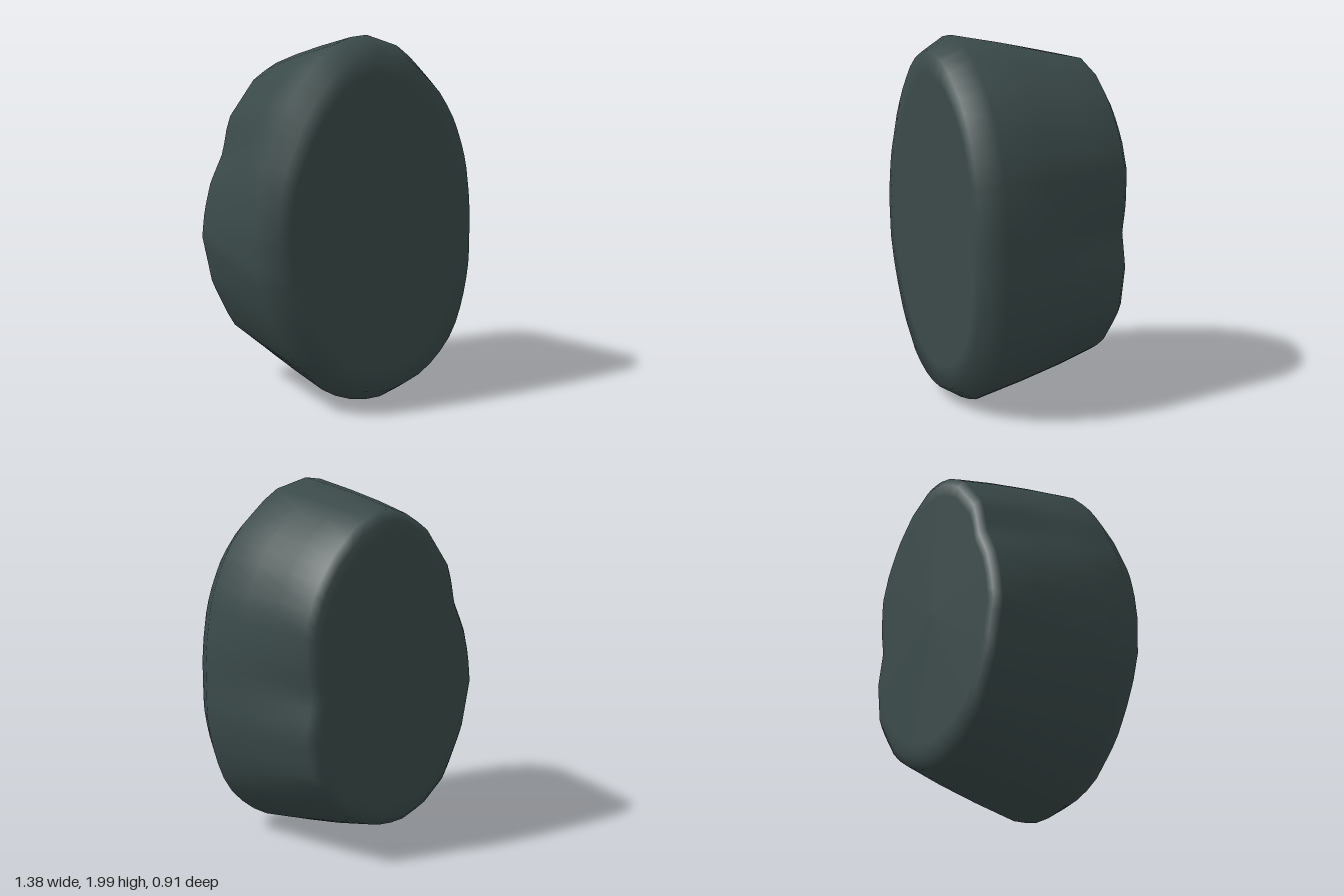
import * as THREE from 'three';

// Outlines, counter-clockwise order not required: they are read by angle around (0, 1)
const FRONT = [[0, 2], [0.23, 1.935], [0.43, 1.76], [0.53, 1.63], [0.6, 1.48], [0.65, 1.33], [0.68, 1.13],
  [0.69, 1], [0.69, 0.72], [0.665, 0.56], [0.61, 0.37], [0.52, 0.22], [0.4, 0.12], [0.28, 0.05], [0.06, 0],
  [-0.12, 0.04], [-0.26, 0.1], [-0.46, 0.3], [-0.56, 0.47], [-0.63, 0.62], [-0.68, 0.78], [-0.695, 1],
  [-0.68, 1.17], [-0.645, 1.33], [-0.52, 1.61], [-0.41, 1.77], [-0.25, 1.935], [-0.1, 1.99]];
const BACK = [[0.08, 1.87], [0.26, 1.78], [0.405, 1.64], [0.505, 1.48], [0.565, 1.31], [0.56, 1.1],
  [0.53, 0.95], [0.57, 0.75], [0.53, 0.51], [0.37, 0.3], [0.21, 0.2], [0.05, 0.155], [-0.1, 0.16],
  [-0.25, 0.22], [-0.4, 0.34], [-0.53, 0.6], [-0.59, 0.88], [-0.57, 1.03], [-0.53, 1.18], [-0.45, 1.34],
  [-0.41, 1.53], [-0.23, 1.76], [-0.05, 1.86]];
const SIDES = 60;

// Distance from the centre to the outline along each of SIDES rays
function radii(outline) {
  const out = [];
  for (let j = 0; j < SIDES; j++) {
    const a = (j / SIDES) * Math.PI * 2, dx = Math.cos(a), dy = Math.sin(a);
    let r = 0;
    outline.forEach(([x, y], i) => {
      const [u, v] = outline[(i + 1) % outline.length];
      const s0 = dx * (y - 1) - dy * x, s1 = dx * (v - 1) - dy * u;
      if (s0 * s1 > 0 || s0 === s1) return;
      const t = s0 / (s0 - s1);
      r = Math.max(r, dx * (x + (u - x) * t) + dy * (y - 1 + (v - y) * t));
    });
    out.push(r);
  }
  return out;
}

// Cross-sections from back to front: z, blend towards the back outline, scale
const SECTIONS = [
  [-0.455, 1, 0], [-0.455, 1, 0.86], [-0.455, 1, 0.94], [-0.42, 1, 1], [-0.2, 0.65, 1],
  [0.05, 0.32, 1], [0.33, 0, 1], [0.455, 0, 0.92], [0.455, 0, 0.8], [0.455, 0, 0],
];

export function createModel() {
  const front = radii(FRONT), back = radii(BACK);
  const position = [], index = [];
  SECTIONS.forEach(([z, blend, scale], i) => {
    for (let j = 0; j < SIDES; j++) {
      const a = (j / SIDES) * Math.PI * 2;
      const r = scale * THREE.MathUtils.lerp(front[j], back[j], blend);
      position.push(r * Math.cos(a), 1 + r * Math.sin(a), z);
      if (i === 0) continue;
      const k = (j + 1) % SIDES, p = (i - 1) * SIDES, q = i * SIDES;
      if (i > 1) index.push(p + j, p + k, q + k);
      if (i < SECTIONS.length - 1 || i === 1) index.push(p + j, q + k, q + j);
    }
  });
  const geometry = new THREE.BufferGeometry();
  geometry.setAttribute('position', new THREE.Float32BufferAttribute(position, 3));
  geometry.setIndex(index);
  geometry.computeVertexNormals();

  // Tapered oval body with a pinched back
  const body = new THREE.Mesh(geometry, new THREE.MeshStandardMaterial({ color: 0x3a4a49 }));
  body.name = 'taperedOvalBody';
  const group = new THREE.Group();
  group.name = 'ovalBlock';
  group.add(body);
  return group;
}
